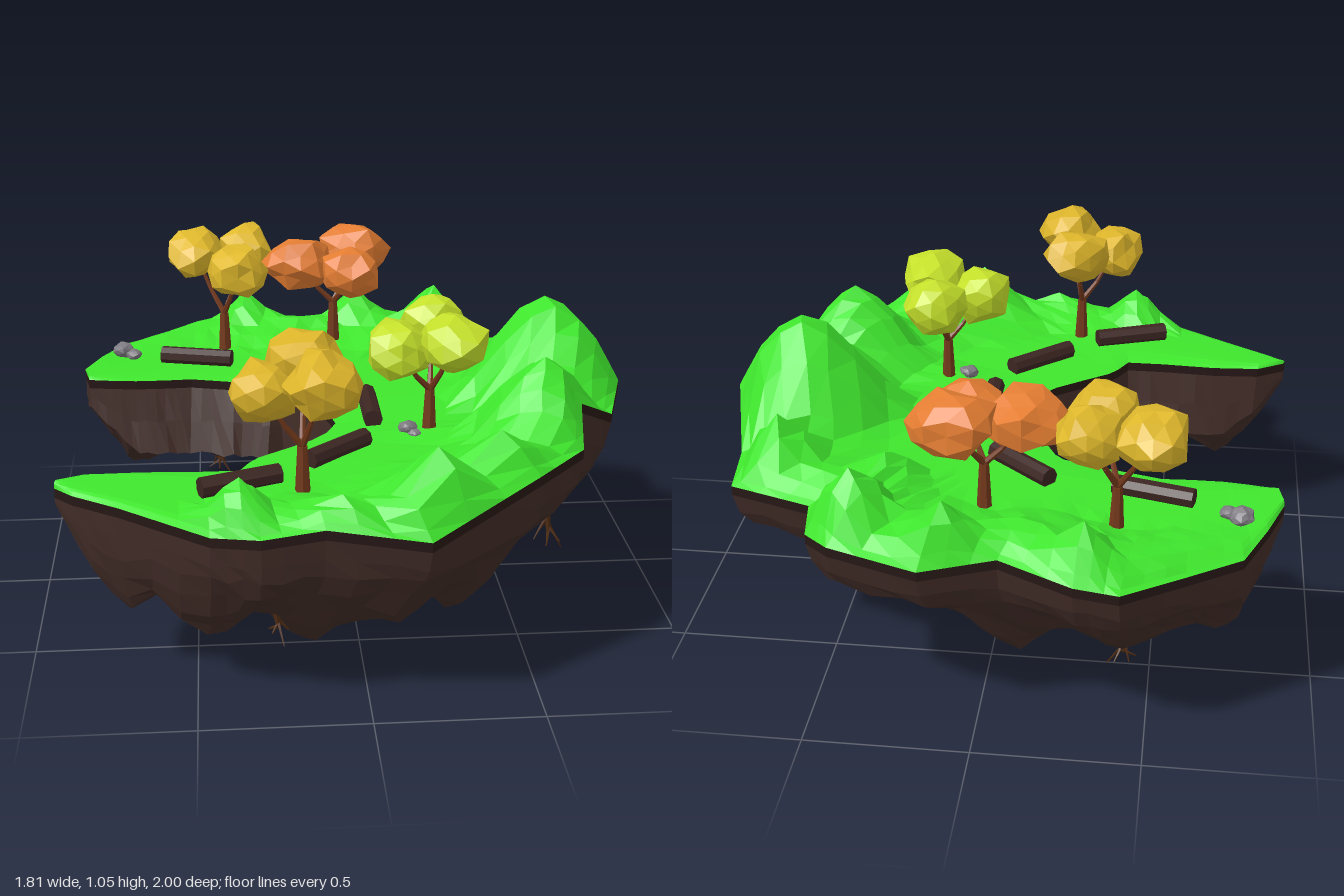
import * as THREE from 'three';

const mat = (color) => new THREE.MeshStandardMaterial({ color, flatShading: true, roughness: 0.9 });
const V = (x, y, z) => new THREE.Vector3(x, y, z);
const { lerp, clamp, smoothstep } = THREE.MathUtils;

// repeatable noise in -1..1 taken from a position
const noise = (a, b, c = 0) => {
  const s = Math.sin(Math.round(a * 500) * 1.27 + Math.round(b * 500) * 3.11 + Math.round(c * 500) * 7.47) * 4375.85;
  return (s - Math.floor(s)) * 2 - 1;
};

// crescent outline: matching inner [x, z] and outer [x, z, rim height] points
const INNER = [[-.86, -.36], [-.78, -.345], [-.7, -.335], [-.6, -.335], [-.51, -.34], [-.4, -.31], [-.29, -.28],
  [-.2, -.25], [-.17, -.22], [-.15, -.18], [-.13, -.14], [-.11, -.1], [-.09, -.06], [-.06, .04], [-.045, .12],
  [-.08, .2], [-.13, .26], [-.22, .33], [-.3, .39], [-.33, .43], [-.36, .49], [-.48, .49], [-.66, .48], [-.81, .49], [-.9, .545]];
const OUTER = [[-.88, -.46, .6], [-.83, -.61, .6], [-.76, -.77, .59], [-.6, -.88, .59], [-.42, -1, .59], [-.29, -.99, .6],
  [-.07, -.9, .62], [.15, -.96, .6], [.42, -.89, .62], [.5, -.81, .61], [.53, -.63, .6], [.79, -.54, .6], [.81, -.34, .61],
  [.9, 0, .68], [.82, .26, .66], [.69, .4, .75], [.67, .55, .66], [.5, .77, .67], [.16, 1, .58], [-.13, .96, .61],
  [-.31, .97, .59], [-.45, .92, .58], [-.71, .72, .59], [-.85, .62, .59], [-.905, .56, .59]];
const INNER_Y = 0.6;
const SUB = 3, N = (INNER.length - 1) * SUB;

const sample = (list, s) => {
  const i = Math.min(Math.floor(s / SUB), list.length - 2), t = s / SUB - i;
  return list[i].map((a, k) => lerp(a, list[i + 1][k], t));
};

// point across the crescent: v = 0 on the inner rim, 1 on the outer rim
function across(s, v) {
  const [ix, iz] = sample(INNER, s), [ox, oz, rim] = sample(OUTER, s);
  return { x: lerp(ix, ox, v), z: lerp(iz, oz, v), y: lerp(INNER_Y, rim, clamp(v, 0, 1) ** 2) };
}

// hill peaks [station, v, height, radius] and hanging rock points [x, z, height, radius]
const HILLS = [[38.4, .77, .98, .31], [45, .85, .89, .24], [53, .85, .8, .19], [51, .85, .79, .18], [61, .77, .73, .13],
  [56, .85, .69, .14], [34, .85, .79, .16], [26, .85, .8, .18], [21, .85, .77, .16], [15, .85, .75, .14], [30, .69, .71, .16]]
  .map(([s, v, h, r]) => { const p = across(s, v); return [p.x, p.z, h, r]; });
const SPIKES = [[-.72, .59, .2, .16], [-.45, .72, .17, .17], [-.15, .7, .12, .2], [.08, .75, .18, .18], [.3, .47, .08, .25],
  [.25, 0, .1, .22], [.62, .2, .18, .18], [.52, -.25, .17, .2], [.2, -.42, .14, .2], [-.1, -.64, .13, .2], [-.42, -.65, .18, .2], [-.7, -.55, .22, .18]];
const cone = (x, z, [cx, cz, , r]) => Math.max(0, 1 - Math.hypot(x - cx, z - cz) / r);

function grassSection(s) {
  return [0, .06, .16, .28, .4, .5, .6, .69, .77, .85, .92, .97, 1].map((v) => {
    const p = across(s, v);
    if (v === 0 || v === 1) return V(p.x, p.y, p.z);
    const inside = Math.min(1, v * 8, (1 - v) * 9);
    const fade = clamp(Math.min((s - 5) / 9, (N - s - 9) / 9), 0, 1);
    const ridge = Math.max(0, 1 - Math.abs(v - .8) / .3) * .06 * fade;
    let y = p.y + .012 * inside + ridge * inside;
    for (const h of HILLS) {
      const c = cone(p.x, p.z, h);
      y = Math.max(y, lerp(p.y, h[2], c * (1.4 - .4 * c) * Math.min(1, inside + .2)));
    }
    const j = v > .4 && v < .95 ? .007 * fade : 0;
    return V(p.x + noise(s, v) * j, y + noise(v, s, 1) * j, p.z + noise(s, v, 2) * j);
  });
}

// narrow dark band under the grass on the inner (0) or outer (1) rim
const soilSection = (v, drops) => (s) => drops.map((d) => {
  const p = across(s, v);
  return V(p.x, p.y - d, p.z);
});

function rockSection(s) {
  const deep = Math.min(1, .3 + s * .13, .12 + (N - s) * .15);
  const lip = s < 7 * SUB || s > 19 * SUB ? -.1 : -.015;
  const steep = smoothstep(s, 45, 54);
  // [v on the sloping back, v on the steep front, share of full depth], from the outer rim under to the inner rim
  const profile = [[1, 1, 0], [.98, .985, .22], [.94, .965, .42], [.78, .9, .66], [.67, .8, .85], [.59, .7, .95], [.52, .6, 1],
    [.45, .5, 1], [.37, .4, 1], [.28, .3, .98], [.18, .18, .95], [.07, .07, .9], [lip, lip, .8], [lip * .5, lip * .5, .4], [0, 0, 0]];
  return profile.map(([vBack, vFront, d]) => {
    const v = lerp(vBack, vFront, steep), p = across(s, v), top = p.y - .03;
    if (d === 0) return V(p.x, top, p.z);
    let drop = (top - .3) * d;
    for (const k of SPIKES) drop = Math.max(drop, lerp(drop, top - k[2], cone(p.x, p.z, k) * d));
    const j = .01 * deep;
    return V(p.x + noise(s, d, 3) * j * d, top - drop * deep + noise(s, v, 4) * j, p.z + noise(s, v, 5) * j * d);
  });
}

// skin neighbouring sections and, for solid parts, close both ends
function loft(name, section, color, closed = true) {
  const pos = [], idx = [], m = section(0).length;
  for (let s = 0; s <= N; s++) section(s).forEach((p) => pos.push(p.x, p.y, p.z));
  for (let s = 0; s < N; s++) for (let i = 0; i < m - 1; i++) {
    const a = s * m + i, c = a + m;
    idx.push(a, c, a + 1, a + 1, c, c + 1);
  }
  for (const s of closed ? [0, N] : []) {
    const pts = section(s), c = pos.length / 3, mid = pts.reduce((t, p) => t.add(p), V(0, 0, 0)).divideScalar(m);
    pos.push(mid.x, mid.y, mid.z);
    for (let i = 0; i < m; i++) {
      const a = s * m + i, b = s * m + (i + 1) % m;
      idx.push(c, ...(s === 0 ? [a, b] : [b, a]));
    }
  }
  const g = new THREE.BufferGeometry();
  g.setAttribute('position', new THREE.Float32BufferAttribute(pos, 3));
  g.setIndex(idx);
  g.computeVertexNormals();
  const mesh = new THREE.Mesh(g, mat(color));
  mesh.name = name;
  return mesh;
}

// short band across the blunt ends of the crescent
function soilEnd(s) {
  const a = across(s, 0), b = across(s, 1), c = V((a.x + b.x) / 2, a.y - .015, (a.z + b.z) / 2);
  const mesh = new THREE.Mesh(new THREE.PlaneGeometry(Math.hypot(b.x - a.x, b.z - a.z), .03), mat(0x261816));
  mesh.material.side = THREE.DoubleSide;
  mesh.position.copy(c);
  mesh.rotation.y = Math.atan2(a.z - b.z, b.x - a.x);
  mesh.name = 'soilEnd';
  return mesh;
}

// tapered stick between two points
function stick(name, a, b, r0, r1, material, sides = 6) {
  const d = b.clone().sub(a);
  const mesh = new THREE.Mesh(new THREE.CylinderGeometry(r1, r0, d.length(), sides), material);
  mesh.position.copy(a).addScaledVector(d, .5);
  mesh.quaternion.setFromUnitVectors(V(0, 1, 0), d.normalize());
  mesh.name = name;
  return mesh;
}

// faceted lump used for leaves and stones
function lump(name, c, size, material, seed) {
  const g = new THREE.IcosahedronGeometry(1, 1), p = g.attributes.position;
  for (let i = 0; i < p.count; i++) {
    const v = V(0, 0, 0).fromBufferAttribute(p, i);
    v.multiplyScalar(1.03 + .16 * noise(v.x + seed, v.y, v.z));
    p.setXYZ(i, v.x, v.y, v.z);
  }
  g.computeVertexNormals();
  const mesh = new THREE.Mesh(g, material);
  mesh.position.copy(c);
  mesh.scale.copy(size);
  mesh.name = name;
  return mesh;
}

function tree(name, x, y, z, color, crowns) {
  const g = new THREE.Group(), bark = mat(0x74391b), leaf = mat(color);
  g.name = name;
  const base = V(x, y - .02, z), fork = V(x, y + .12, z);
  g.add(stick('trunk', base, fork, .023, .015, bark, 7));
  crowns.forEach(([cx, cy, cz, rx, rz], i) => {
    const c = V(cx, cy, cz), knee = fork.clone().lerp(c, .45);
    knee.y -= .015;
    g.add(stick('branch', fork, knee, .011, .008, bark), stick('branch', knee, c, .008, .005, bark));
    g.add(lump('leaves', c, V(rx, .088, rz), leaf, i + x * 3));
  });
  return g;
}

// hanging root: main strand with side strands
function root(x, y, z, len) {
  const g = new THREE.Group(), m = mat(0x4f2c14), top = V(x, y, z), mid = V(x + .01, y - len * .55, z);
  g.name = 'root';
  g.add(stick('rootStrand', top, mid, .012, .008, m, 5));
  for (let i = 0; i < 5; i++) {
    const a = i * 1.257 + x * 5, r = len * (.22 + .08 * (i % 3));
    const start = top.clone().lerp(mid, .5 + .125 * i);
    const end = V(start.x + Math.cos(a) * r, y - len * (i === 2 ? 1 : .72), start.z + Math.sin(a) * r);
    g.add(stick('rootStrand', start, end, .006, .002, m, 4));
  }
  return g;
}

export function createModel() {
  const model = new THREE.Group();
  model.name = 'floatingIsland';
  model.add(loft('grass', grassSection, 0x3fe62d), loft('rock', rockSection, 0x412c27));
  model.add(loft('outerSoil', soilSection(1, [0, .03]), 0x261816, false), loft('innerSoil', soilSection(0, [.03, 0]), 0x261816, false));
  model.add(soilEnd(0), soilEnd(N));

  // trees: crowns are [x, y, z, half width, half depth]
  model.add(
    tree('backYellowTree', -.39, .62, -.65, 0xe0b92c, [[-.49, .95, -.73, .1, .13], [-.31, .95, -.75, .095, .105], [-.34, .925, -.55, .1, .11]]),
    tree('frontYellowTree', -.18, .63, .68, 0xdcb42a, [[-.17, .97, .55, .105, .105], [-.29, .93, .71, .09, .11], [-.13, .97, .78, .1, .13]]),
    tree('orangeTree', 0, .66, -.63, 0xe47d32, [[-.12, .93, -.63, .12, .115], [.08, .95, -.72, .13, .1], [.055, .91, -.55, .105, .095]]),
    tree('greenTree', .24, .64, .26, 0xc4e02a, [[.26, .935, .13, .1, .095], [.135, .91, .31, .095, .11], [.3, .945, .36, .1, .135]]));

  // fallen logs around the clearing: [x, z, direction x, direction z]
  const wood = mat(0x3b2521);
  for (const [x, z, dx, dz] of [[-.49, -.48, 46, 12], [-.08, -.355, 36, 32], [.07, .06, 0, 46], [-.06, .42, 32, -30], [-.36, .65, 46, -18]]) {
    const d = V(dx, 0, dz).setLength(.125), c = V(x, .635, z);
    model.add(stick('log', c.clone().sub(d), c.clone().add(d), .031, .031, wood, 8));
  }

  // stones
  const stone = mat(0x7d7980);
  for (const [x, y, z, r] of [[-.75, .63, -.59, .038], [-.715, .622, -.56, .027], [.17, .64, .27, .028], [.19, .63, .3, .02]])
    model.add(lump('stone', V(x, y, z), V(r, r * .7, r), stone, x));

  for (const [x, y, z, len] of [[.23, .19, -.01, .17], [-.43, .25, -.65, .14], [.62, .38, .28, .19], [-.27, .3, .8, .11]])
    model.add(root(x, y, z, len));
  return model;
}
